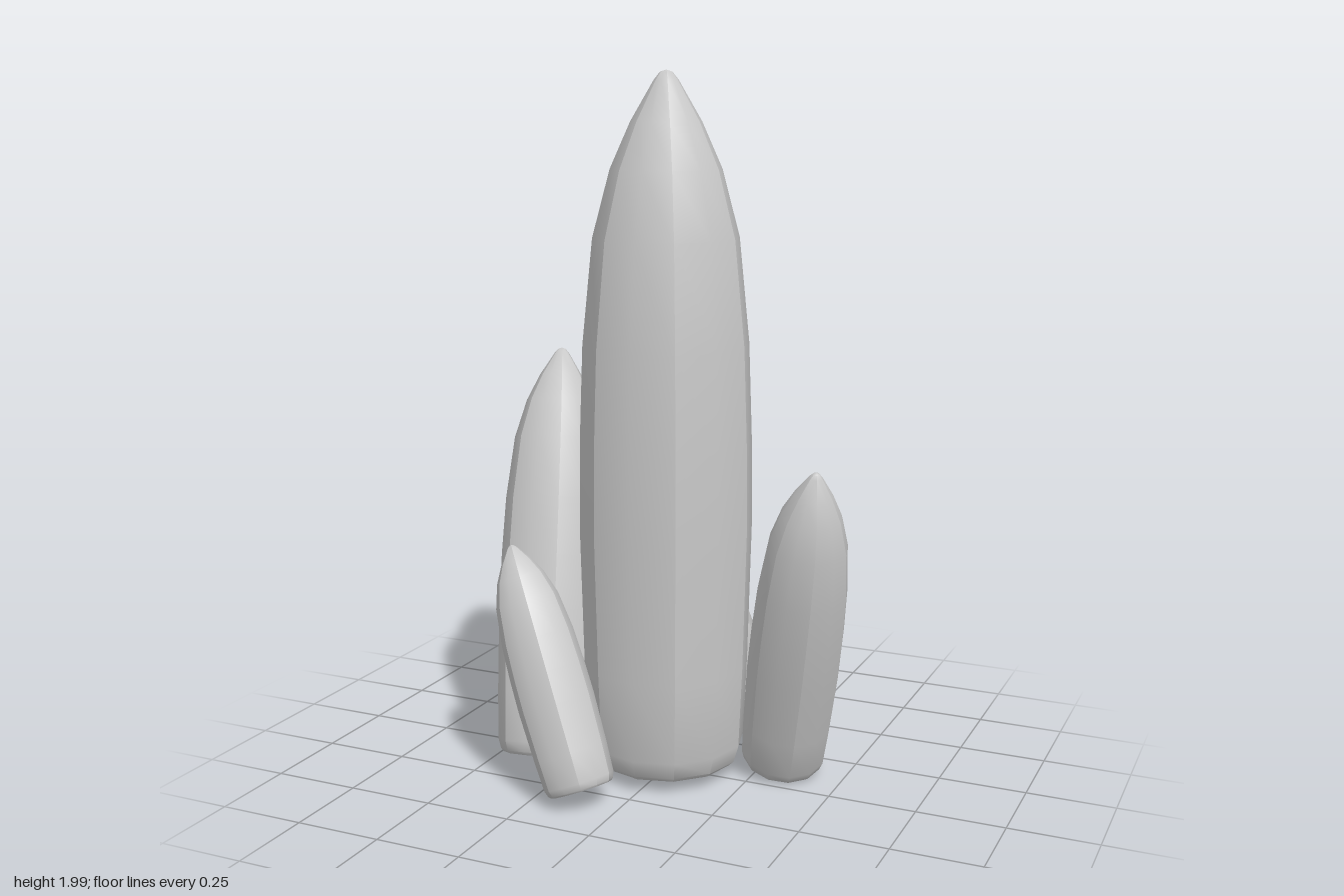
import * as THREE from 'three';
import { mergeGeometries, toCreasedNormals } from 'three/addons/utils/BufferGeometryUtils.js';

// Shared spire outline: radius and height as fractions of the full size
const PROFILE = [
  [0, 0], [0.8, 0], [0.86, 0.007], [0.92, 0.032], [0.96, 0.15], [1, 0.35], [0.99, 0.48],
  [0.95, 0.62], [0.83, 0.77], [0.63, 0.865], [0.4, 0.93], [0.14, 0.986], [0.07, 0.997], [0, 1],
];
const SECTOR = Math.PI / 3;

// A pointed spire from base centre to tip: six sharp-edged faces, each gently folded in two
function makeSpire(name, base, tip, radius, material) {
  const from = new THREE.Vector3(...base);
  const axis = new THREE.Vector3(...tip).sub(from);
  const length = axis.length();
  const points = PROFILE.map(([r, t]) => new THREE.Vector2(r * radius, t * length));
  const faces = [];
  for (let i = 0; i < 6; i++) {
    const face = new THREE.LatheGeometry(points, 2, (i + 0.5) * SECTOR, SECTOR);
    faces.push(toCreasedNormals(face, 0.6));
  }
  const mesh = new THREE.Mesh(mergeGeometries(faces), material);
  mesh.name = name;
  mesh.position.copy(from);
  mesh.quaternion.setFromUnitVectors(new THREE.Vector3(0, 1, 0), axis.normalize());
  return mesh;
}

export function createModel() {
  const group = new THREE.Group();
  group.name = 'crystalCluster';
  const stone = new THREE.MeshStandardMaterial({ color: 0xc8c8c8 });
  stone.name = 'pale grey stone';

  // Tall centre spire with four smaller ones leaning around it
  const spires = [
    ['centreSpire', [-0.004, 0.04, -0.01], [-0.004, 2, -0.01], 0.246],
    ['rightSpire', [-0.327, 0.043, 0.122], [-0.44, 1.19, -0.215], 0.158],
    ['leftSpire', [0.314, 0.037, -0.127], [0.483, 0.955, 0.108], 0.132],
    ['frontSpire', [-0.108, 0.05, 0.332], [-0.38, 0.69, 0.22], 0.108],
    ['backSpire', [0.102, 0.04, -0.345], [0.037, 0.545, -0.24], 0.1],
  ];
  for (const [name, base, tip, radius] of spires) {
    group.add(makeSpire(name, base, tip, radius, stone));
  }
  return group;
}
